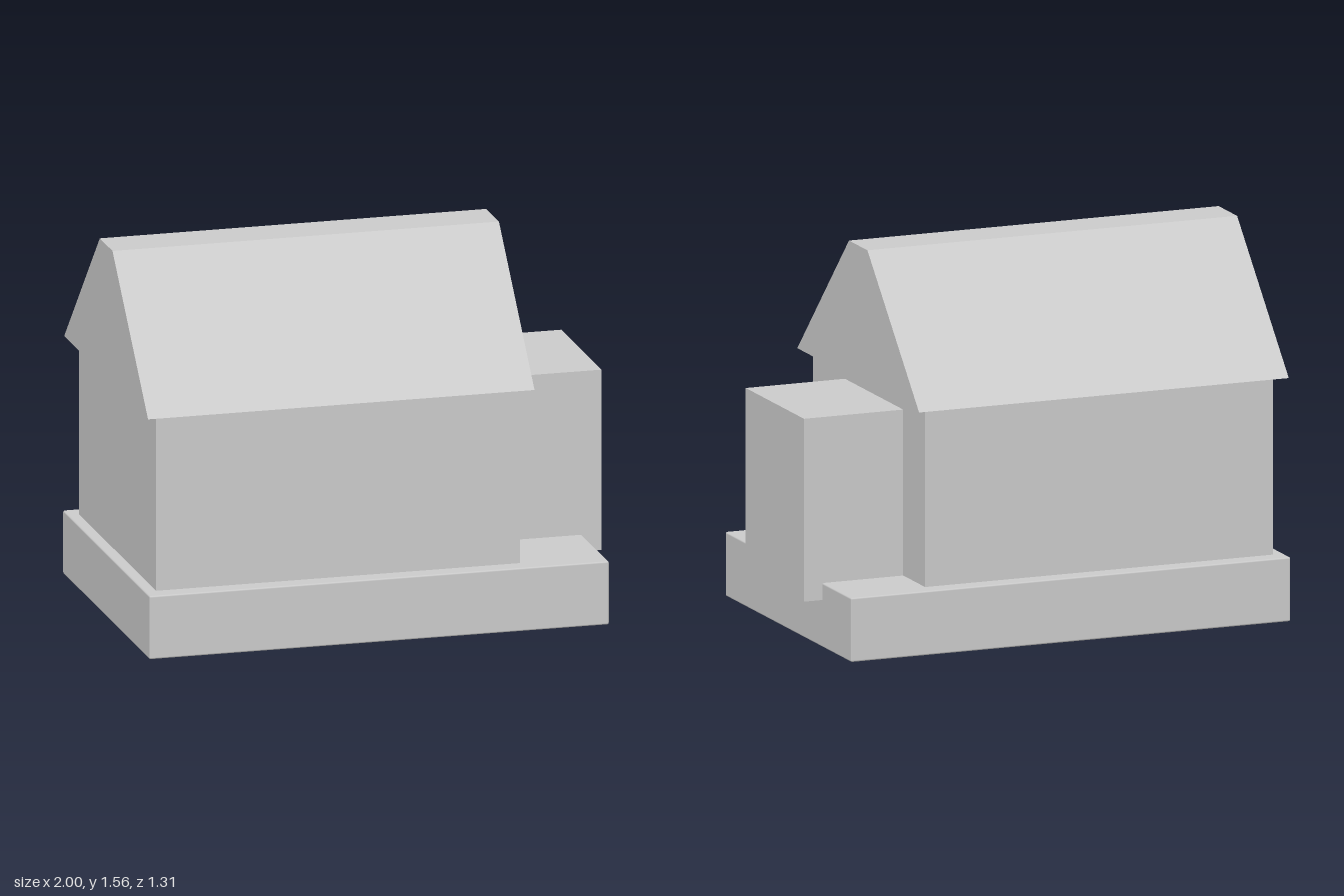
import * as THREE from 'three';
import { RoundedBoxGeometry } from 'three/addons/geometries/RoundedBoxGeometry.js';

export function createModel() {
  const model = new THREE.Group();
  model.name = 'house';
  const plainGrey = new THREE.MeshStandardMaterial({ color: 0xcccccc });
  plainGrey.name = 'plainGrey';

  function add(name, geometry, x = 0, y = 0, z = 0) {
    const mesh = new THREE.Mesh(geometry, plainGrey);
    mesh.name = name;
    mesh.position.set(x, y, z);
    model.add(mesh);
  }

  // Plinth with finely bevelled edges
  add('foundation', new RoundedBoxGeometry(1.92, 0.265, 1.31, 1, 0.007), -0.04, 0.1325, 0);

  // Main walls
  add('walls', new THREE.BoxGeometry(1.52, 0.74, 1.166), -0.193, 0.63, 0);

  // Annex on the left end, overhanging the plinth
  add('annex', new THREE.BoxGeometry(0.433, 0.755, 0.606), 0.7835, 0.5725, -0.053);

  // Gable roof with a flat ridge, extruded along x
  const gable = new THREE.Shape([
    new THREE.Vector2(-0.633, 1.0),
    new THREE.Vector2(0.633, 1.0),
    new THREE.Vector2(0.096, 1.557),
    new THREE.Vector2(-0.096, 1.557),
  ]);
  const roof = new THREE.ExtrudeGeometry(gable, { depth: 1.614, bevelEnabled: false });
  roof.rotateY(Math.PI / 2);
  add('roof', roof, -1, 0, 0);

  return model;
}
